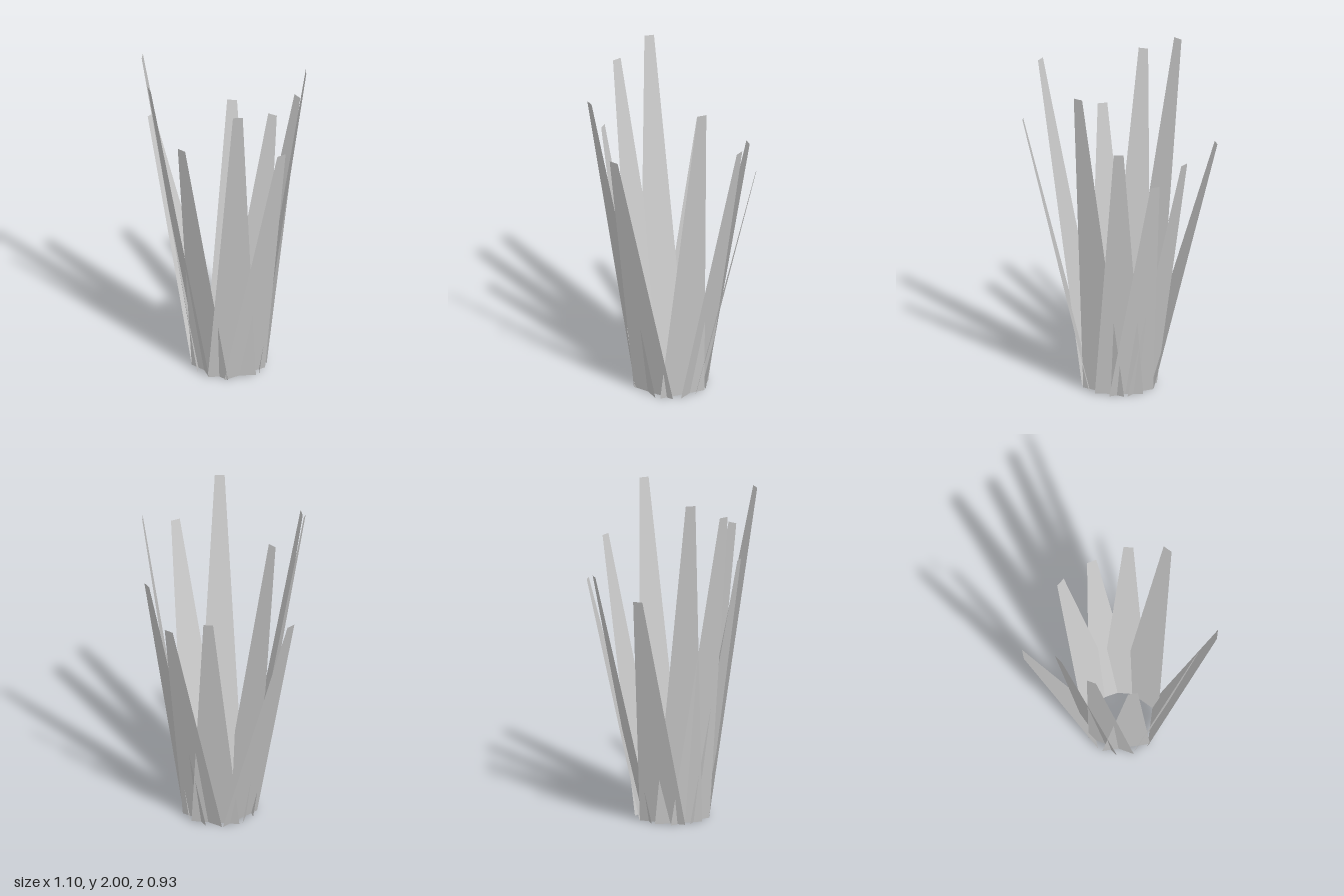
import * as THREE from 'three';

// Ring the blades grow from
const CENTER = new THREE.Vector3(0.03, 0, 0.037);
const RING_RADIUS = 0.168;
const BASE_WIDTH = 0.28;
const TIP_WIDTH = 0.057;

// Middle of each blade's tip edge, going round the tuft: x, height, z
const TIPS = [
  [0.006, 1.4, -0.464],
  [0.212, 1.612, -0.41],
  [0.392, 1.918, -0.225],
  [0.54, 1.638, 0.266],
  [0.357, 1.918, 0.448],
  [-0.031, 1.585, 0.45],
  [-0.274, 1.902, 0.419],
  [-0.425, 2.0, 0.259],
  [-0.55, 1.437, -0.025],
  [-0.213, 1.475, -0.371],
];

// Flat tapered blade leaning outward from the ring to its tip
function bladeGeometry(tip) {
  const out = tip.clone().sub(CENTER).setY(0).normalize();
  const side = new THREE.Vector3(out.z, 0, -out.x);
  const base = CENTER.clone().addScaledVector(out, RING_RADIUS);
  const corners = [
    base.clone().addScaledVector(side, -BASE_WIDTH / 2),
    base.clone().addScaledVector(side, BASE_WIDTH / 2),
    tip.clone().addScaledVector(side, TIP_WIDTH / 2),
    tip.clone().addScaledVector(side, -TIP_WIDTH / 2),
  ];
  const geometry = new THREE.BufferGeometry().setFromPoints(corners);
  geometry.setIndex([0, 1, 2, 0, 2, 3]);
  geometry.computeVertexNormals();
  return geometry;
}

export function createModel() {
  const tuft = new THREE.Group();
  tuft.name = 'grassTuft';
  const material = new THREE.MeshStandardMaterial({
    color: 0xcccccc, flatShading: true, side: THREE.DoubleSide,
  });
  TIPS.forEach((tip, i) => {
    const blade = new THREE.Mesh(bladeGeometry(new THREE.Vector3(...tip)), material);
    blade.name = `blade${i + 1}`;
    tuft.add(blade);
  });
  return tuft;
}
